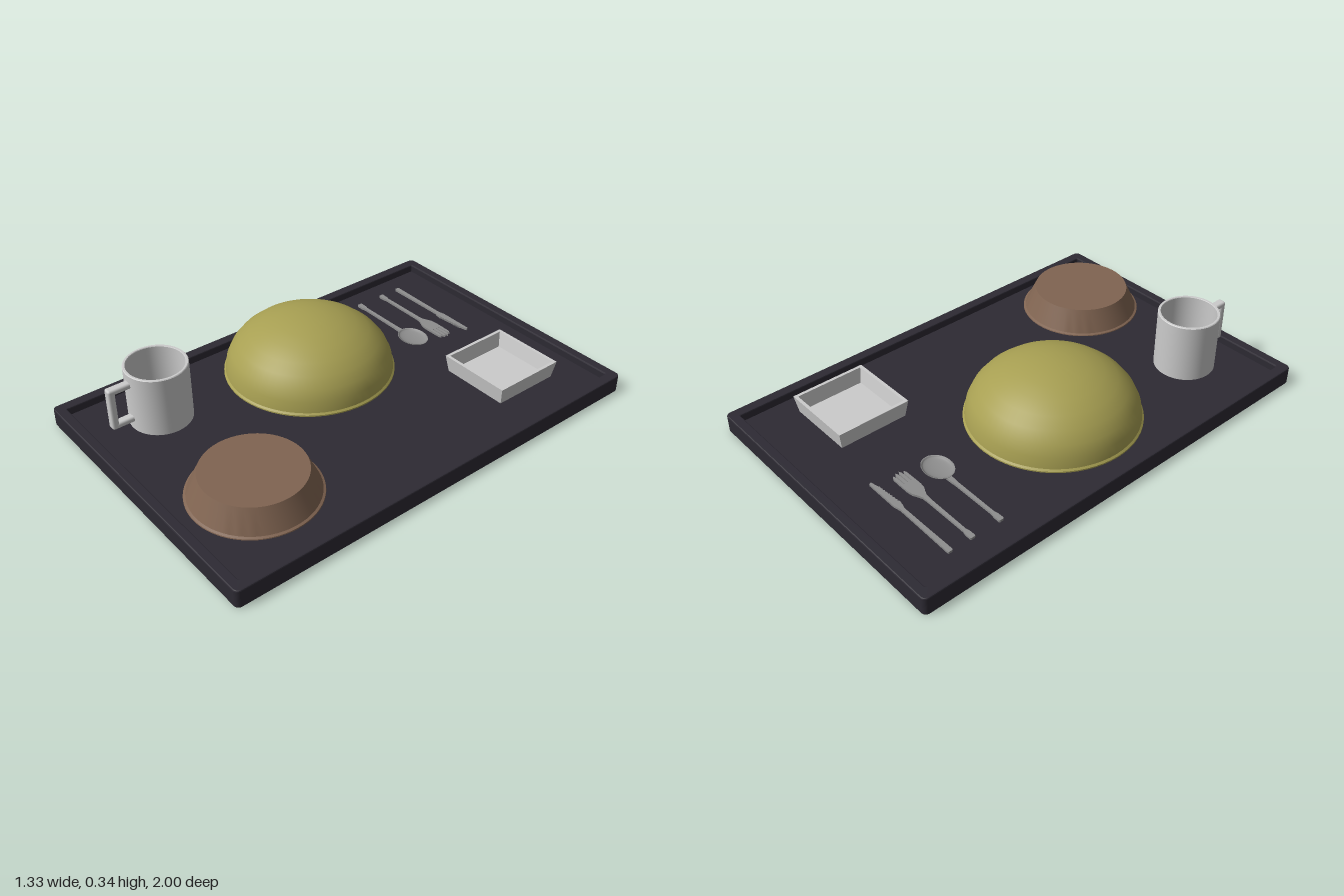
import * as THREE from 'three';
import { RoundedBoxGeometry } from 'three/addons/geometries/RoundedBoxGeometry.js';
import { toCreasedNormals } from 'three/addons/utils/BufferGeometryUtils.js';

const FLOOR = 0.045; // recessed tray floor
const SEAT = 0.078; // underside of the dishes
const mat = (color) => new THREE.MeshStandardMaterial({ color, side: THREE.DoubleSide });
const grey = mat(0xcccccc);
const steel = mat(0x8e8e8e);
const trayMat = mat(0x2d2a33);
const olive = mat(0xa79f52);
const brown = mat(0x806451);

function part(name, geometry, material, x = 0, y = 0, z = 0) {
  const mesh = new THREE.Mesh(geometry, material);
  mesh.name = name;
  mesh.position.set(x, y, z);
  return mesh;
}

function assembly(name, x, y, z, ...children) {
  const g = new THREE.Group();
  g.name = name;
  g.position.set(x, y, z);
  g.add(...children);
  return g;
}

// Lathe with smooth curves and sharp rims; profile is a list of [radius, height]
function turned(profile, segments = 64, crease = 0.5) {
  const pts = profile.map(([r, y]) => new THREE.Vector2(r, y));
  return toCreasedNormals(new THREE.LatheGeometry(pts, segments), crease);
}

function roundedRect(Type, w, h, r) {
  const s = new Type();
  const a = w / 2 - r, b = h / 2 - r;
  s.absarc(a, b, r, 0, Math.PI / 2);
  s.absarc(-a, b, r, Math.PI / 2, Math.PI);
  s.absarc(-a, -b, r, Math.PI, Math.PI * 1.5);
  s.absarc(a, -b, r, Math.PI * 1.5, Math.PI * 2);
  s.closePath();
  return s;
}

// Tray: bevelled frame around a recessed floor
function makeTray() {
  const bevel = 0.005;
  const frame = roundedRect(THREE.Shape, 1.33 - 2 * bevel, 2 - 2 * bevel, 0.018);
  frame.holes.push(roundedRect(THREE.Path, 1.236 + 2 * bevel, 1.912 + 2 * bevel, 0.012));
  const rim = new THREE.ExtrudeGeometry(frame, {
    depth: 0.08 - 2 * bevel, bevelThickness: bevel, bevelSize: bevel, bevelSegments: 2, curveSegments: 5,
  });
  rim.rotateX(-Math.PI / 2).translate(0, bevel, 0);
  return assembly('tray', 0, 0, 0,
    part('trayRim', rim, trayMat),
    part('trayFloor', new THREE.BoxGeometry(1.25, FLOOR, 1.925), trayMat, 0, FLOOR / 2, 0));
}

// Upturned thin-walled domed bowl with a small lip
function makeDome() {
  const arc = (r, h, y) => Array.from({ length: 9 }, (_, i) => {
    const a = (i / 8) * Math.PI / 2;
    return [r * Math.cos(a), y + h * Math.sin(a)];
  });
  const profile = [...arc(0.345, 0.235, 0.02).reverse(), [0.35, 0.006], [0.358, 0.005],
    [0.368, 0.012], [0.368, 0.018], ...arc(0.361, 0.242, 0.025)];
  return part('largeBowl', turned(profile), olive, -0.224, SEAT, 0);
}

// Upturned thin-walled conical bowl with a lip
function makeSmallBowl() {
  const profile = [[0, 0.1], [0.185, 0.1], [0.24, 0.006], [0.255, 0.005], [0.265, 0.01],
    [0.264, 0.014], [0.255, 0.018], [0.21, 0.114], [0, 0.114]];
  return part('smallBowl', turned(profile), brown, 0.291, SEAT, 0.657);
}

// Mug with a squared handle facing the front
function makeMug() {
  const body = turned([[0, 0], [0.128, 0], [0.131, 0.003], [0.131, 0.26], [0.128, 0.263],
    [0.12, 0.263], [0.118, 0.26], [0.118, 0.014], [0, 0.014]]);
  const bar = (h, d) => new RoundedBoxGeometry(0.038, h, d, 2, 0.01);
  return assembly('mug', -0.333, SEAT, 0.677,
    part('mugBody', body, grey),
    part('handleGrip', bar(0.186, 0.03), grey, 0, 0.135, 0.21),
    part('handleTop', bar(0.026, 0.105), grey, 0, 0.215, 0.172),
    part('handleBottom', bar(0.026, 0.105), grey, 0, 0.055, 0.172));
}

// Square dish: four-sided lathe of [half width, height]
function makeDish() {
  const rings = [[0, 0], [0.154, 0], [0.166, 0.077], [0.152, 0.077], [0.138, 0.012], [0, 0.012]];
  const pts = rings.map(([r, y]) => new THREE.Vector2(r * Math.SQRT2, y));
  const g = new THREE.LatheGeometry(pts, 4, Math.PI / 4);
  return part('squareDish', toCreasedNormals(g, 0.2), grey, 0.327, SEAT, -0.606);
}

// Thin utensil from an outline; x runs from handle end to tip
function utensil(points) {
  const shape = new THREE.Shape(points.map(([x, y]) => new THREE.Vector2(x, y)));
  const g = new THREE.ExtrudeGeometry(shape, { depth: 0.01, bevelEnabled: false });
  return toCreasedNormals(g.rotateX(-Math.PI / 2), 0.6);
}

// Handle half outline: wide end tapering to a thin neck
const handle = [[0, 0.008], [0.004, 0.012], [0.035, 0.011], [0.05, 0.007], [0.26, 0.008], [0.285, 0.01]];
const below = (half) => half.map(([x, y]) => [x, -y]);

function makeCutlery() {
  const X = -0.525;
  // Knife with a serrated edge
  const blade = [[0, -0.008], [0.004, -0.011], [0.15, -0.009], [0.285, -0.008], [0.3, -0.013]];
  for (let i = 0; i < 9; i++) {
    const x = 0.325 + i * 0.014, y = -0.018 + i * 0.0012;
    blade.push([x, y], [x + 0.009, y + 0.005]);
  }
  blade.push([0.48, 0.004], [0.478, 0.014], [0.32, 0.015], [0.29, 0.008], [0.15, 0.009], [0.004, 0.011], [0, 0.008]);
  const knife = part('knife', utensil(blade), steel, X, FLOOR, -0.774);

  // Fork with four tines
  const tines = [];
  for (let i = 0; i < 4; i++) {
    const y = -0.025 + i * 0.0167, tip = i === 0 || i === 3 ? 0.452 : 0.46;
    if (i > 0) tines.push([0.39, y - 0.0065]);
    tines.push([tip - 0.012, y - 0.006], [tip, y], [tip - 0.012, y + 0.006]);
    if (i < 3) tines.push([0.39, y + 0.0065]);
  }
  const head = [...handle, [0.305, 0.018], [0.325, 0.028], [0.35, 0.032], [0.385, 0.032]];
  const forkPts = [...below(head), ...tines, ...head.slice().reverse()];
  const fork = part('fork', utensil(forkPts), steel, X, FLOOR, -0.671);

  // Spoon: handle plus a shallow hollow bowl
  const stem = [...handle, [0.315, 0.011]];
  const stemPts = [...below(stem), ...stem.slice().reverse()];
  const arc = (r, h, y) => Array.from({ length: 9 }, (_, i) => {
    const a = (i / 8) * Math.PI / 2;
    return [r * Math.sin(a), y - h * Math.cos(a)];
  });
  const bowl = turned([...arc(1, 0.016, 0.016), ...arc(0.93, 0.012, 0.016).reverse()], 32);
  return [knife, fork, assembly('spoon', X, FLOOR, -0.536,
    part('spoonHandle', utensil(stemPts), steel),
    part('spoonBowl', bowl.scale(0.077, 1, 0.061), steel, 0.378, 0, 0))];
}

export function createModel() {
  const model = new THREE.Group();
  model.name = 'mealTray';
  model.add(makeTray(), makeDome(), makeSmallBowl(), makeMug(), makeDish(), ...makeCutlery());
  return model;
}
